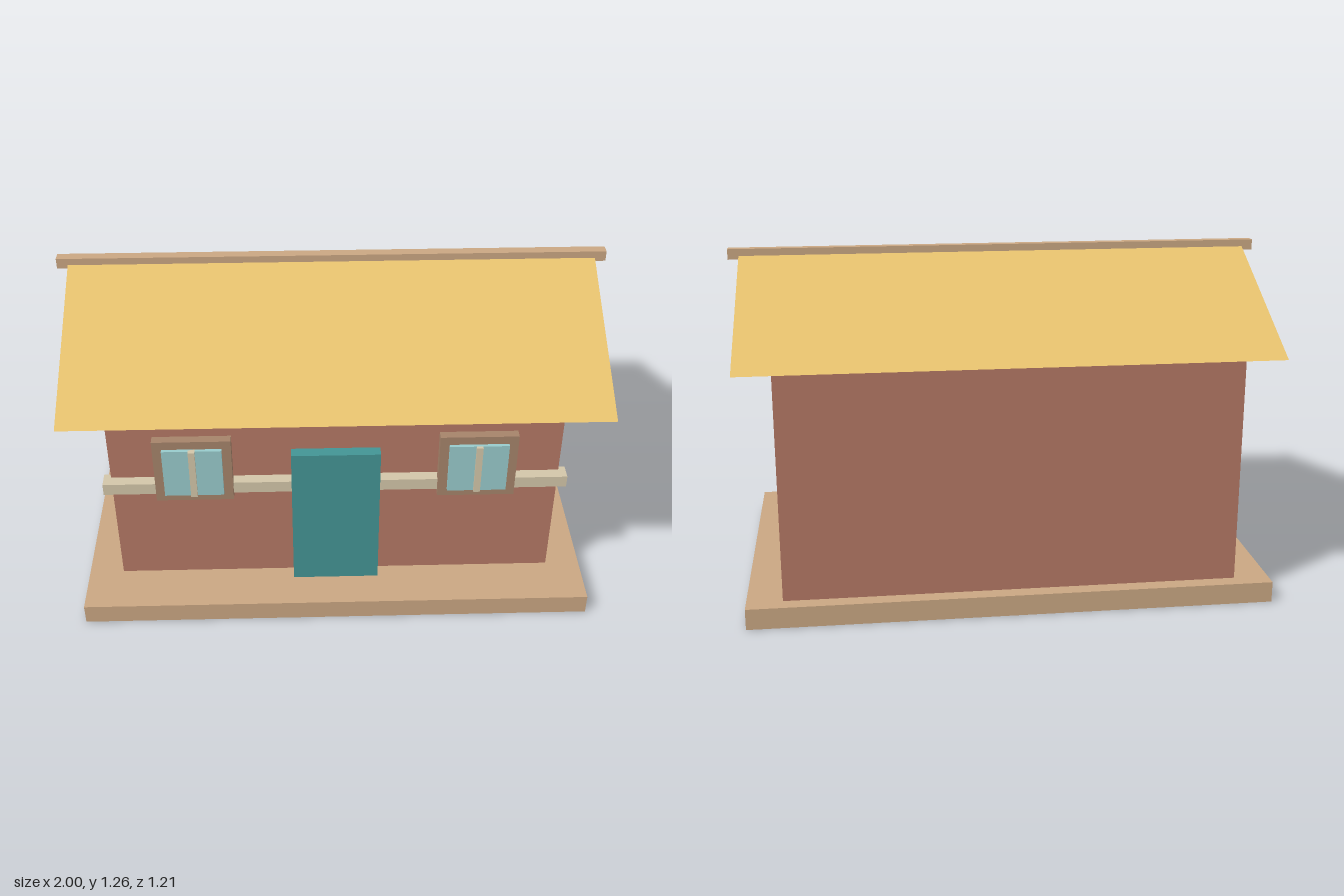
import * as THREE from 'three';

const mat = (color) => new THREE.MeshStandardMaterial({ color, flatShading: true });
const stone = mat(0xc9a682), brick = mat(0xb47864), straw = mat(0xe6c16e), teal = mat(0x439494),
  wood = mat(0xa5836a), cream = mat(0xd2c5a8), glass = mat(0x98cacb);

// Box given by its extents along each axis
function box(name, material, [x0, x1], [y0, y1], [z0, z1]) {
  const mesh = new THREE.Mesh(new THREE.BoxGeometry(x1 - x0, y1 - y0, z1 - z0), material);
  mesh.position.set((x0 + x1) / 2, (y0 + y1) / 2, (z0 + z1) / 2);
  mesh.name = name;
  return mesh;
}

// Solid gable roof: triangle in the z-y plane swept along x
function gableRoof() {
  const half = 0.605, length = 1.92;
  const shape = new THREE.Shape();
  shape.moveTo(-half, 0.927);
  shape.lineTo(half, 0.927);
  shape.lineTo(0, 1.245);
  shape.closePath();
  const geometry = new THREE.ExtrudeGeometry(shape, { depth: length, bevelEnabled: false });
  geometry.translate(0, 0, -length / 2).rotateY(Math.PI / 2);
  const roof = new THREE.Mesh(geometry, straw);
  roof.name = 'roof';
  return roof;
}

// Framed window with a pane and a centre bar standing proud of the frame
function makeWindow(name, x) {
  const win = new THREE.Group();
  win.name = name;
  win.add(
    box('windowFrame', wood, [-0.142, 0.142], [0.49, 0.76], [0.43, 0.464]),
    box('windowPane', glass, [-0.108, 0.108], [0.523, 0.727], [0.445, 0.477]),
    box('windowBar', cream, [-0.012, 0.012], [0.523, 0.727], [0.465, 0.487])
  );
  win.position.x = x;
  return win;
}

export function createModel() {
  const house = new THREE.Group();
  house.name = 'house';
  house.add(
    box('base', stone, [-0.96, 0.96], [0, 0.078], [-0.595, 0.597]),
    box('walls', brick, [-0.83, 0.83], [0.078, 0.961], [-0.539, 0.405]),
    gableRoof(),
    box('ridgeBeam', stone, [-1, 1], [1.222, 1.261], [-0.019, 0.019]),
    box('door', teal, [-0.163, 0.163], [0.078, 0.683], [0.415, 0.458]),
    box('trimBand', cream, [-0.857, 0.857], [0.507, 0.554], [0.387, 0.447]),
    makeWindow('leftWindow', 0.517),
    makeWindow('rightWindow', -0.519)
  );
  return house;
}
